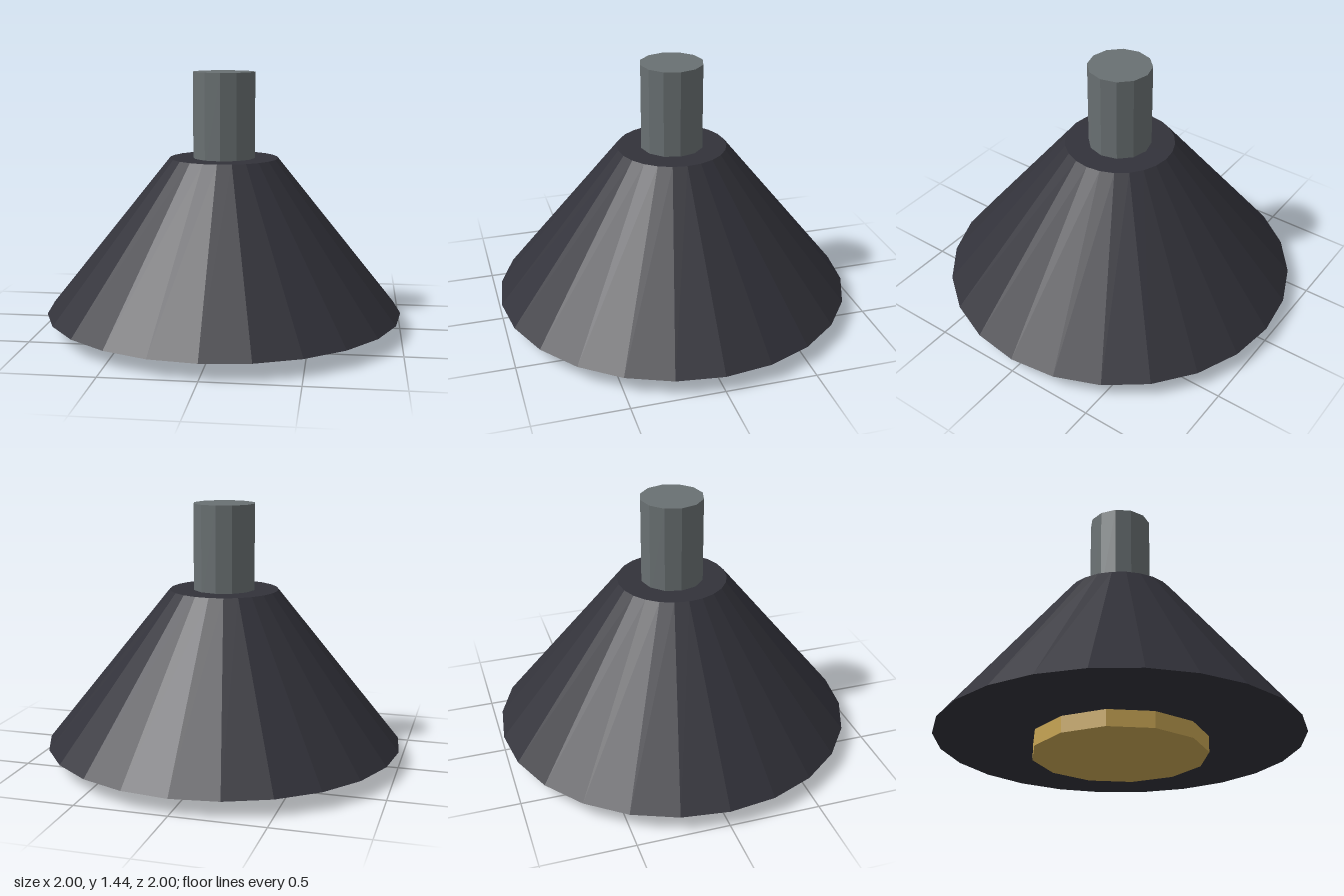
import * as THREE from 'three';

export function createModel() {
  const model = new THREE.Group();
  model.name = 'pendantLamp';

  const makeMaterial = (name, color) => {
    const material = new THREE.MeshStandardMaterial({ color, flatShading: true });
    material.name = name;
    return material;
  };
  const charcoal = makeMaterial('charcoal', 0x32323a);
  const steel = makeMaterial('steel grey', 0x697072);
  const brass = makeMaterial('brass', 0xc6a453);

  // Upright faceted cylinder or cone between two heights
  const addRound = (name, rTop, rBottom, yBottom, yTop, sides, material) => {
    const geometry = new THREE.CylinderGeometry(rTop, rBottom, yTop - yBottom, sides);
    const mesh = new THREE.Mesh(geometry, material);
    mesh.name = name;
    mesh.position.y = (yBottom + yTop) / 2;
    model.add(mesh);
  };

  addRound('lightDisc', 0.478, 0.478, 0, 0.1, 12, brass);
  addRound('shade', 0.304, 1, 0.09, 0.957, 24, charcoal);
  addRound('stem', 0.174, 0.174, 0.9, 1.435, 12, steel);

  return model;
}
